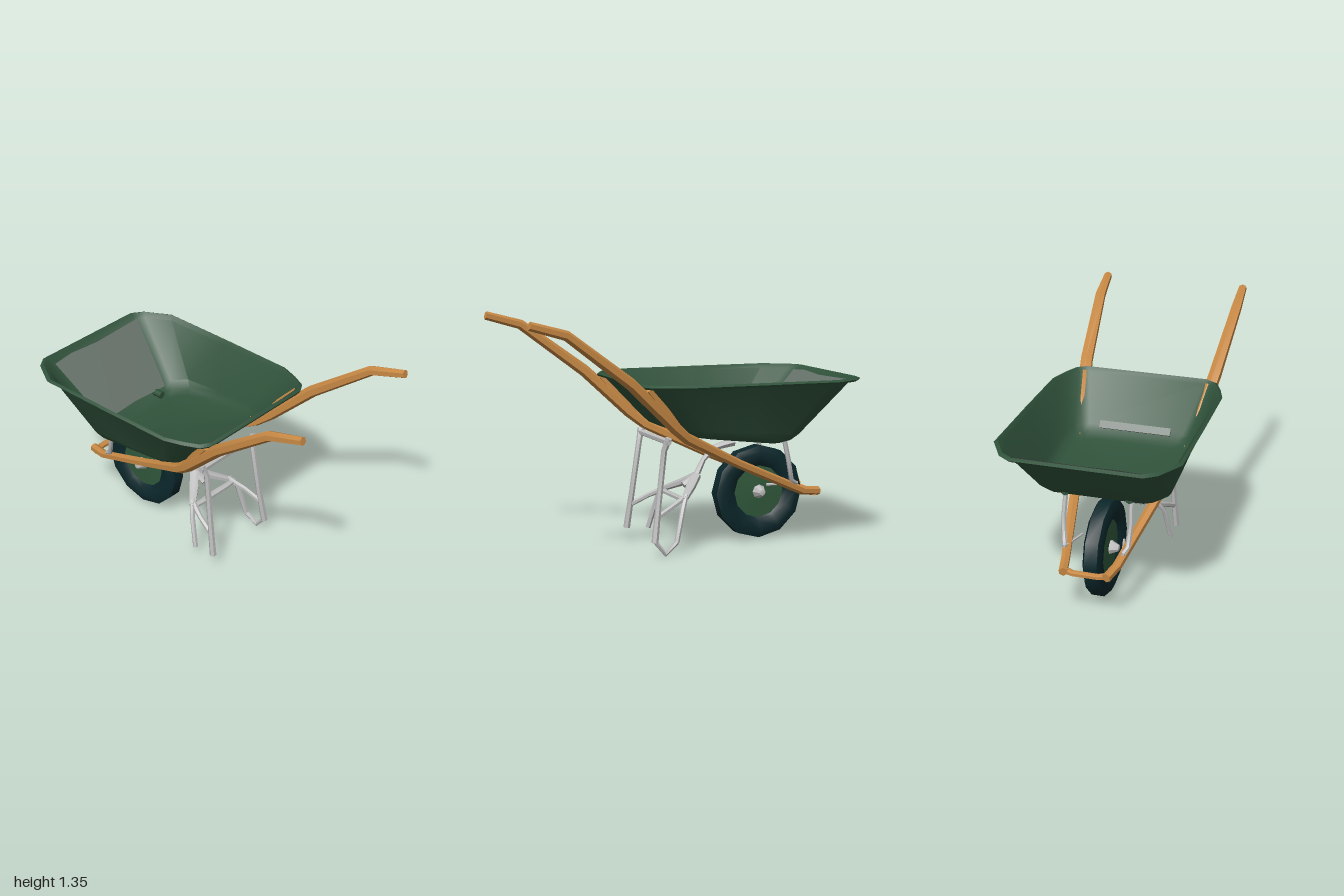
import * as THREE from 'three';
import { toCreasedNormals } from 'three/addons/utils/BufferGeometryUtils.js';

const mat = (name, color, side = THREE.FrontSide) => {
  const m = new THREE.MeshStandardMaterial({ color, side });
  m.name = name;
  return m;
};

function meshFrom(positions, index, crease) {
  const g = new THREE.BufferGeometry();
  g.setAttribute('position', new THREE.Float32BufferAttribute(positions, 3));
  g.setIndex(index);
  return toCreasedNormals(g, crease);
}

// Sweep an n-sided section along points [x, y, z, halfWidth, halfHeight]
function sweep(rows, n = 6, ref = new THREE.Vector3(0, 1, 0)) {
  const pts = rows.map(r => new THREE.Vector3(r[0], r[1], r[2]));
  const pos = [], idx = [];
  rows.forEach((r, i) => {
    const t = pts[Math.min(i + 1, pts.length - 1)].clone().sub(pts[Math.max(i - 1, 0)]).normalize();
    const side = new THREE.Vector3().crossVectors(t, ref).normalize();
    const up = new THREE.Vector3().crossVectors(t, side);
    for (let j = 0; j < n; j++) {
      const a = (j + 0.5) / n * Math.PI * 2;
      const p = pts[i].clone().addScaledVector(side, Math.cos(a) * r[3]).addScaledVector(up, Math.sin(a) * r[4]);
      pos.push(p.x, p.y, p.z);
    }
  });
  for (let i = 0; i < rows.length - 1; i++) for (let j = 0; j < n; j++) {
    const a = i * n + j, b = i * n + (j + 1) % n;
    idx.push(a, b, b + n, a, b + n, a + n);
  }
  const last = (rows.length - 1) * n;
  for (let j = 1; j < n - 1; j++) idx.push(0, j + 1, j, last, last + j, last + j + 1);
  return meshFrom(pos, idx, 0.9);
}

export function createModel() {
  const root = new THREE.Group();
  root.name = 'wheelbarrow';
  const green = mat('tray green', 0x30523b, THREE.DoubleSide);
  const wood = mat('wood', 0xc98a45);
  const metal = mat('grey metal', 0xbcbcbc);
  const rubber = mat('dark rubber', 0x0b272b);
  const rimGreen = mat('rim green', 0x31593c);
  const worn = mat('worn grey', 0x67736b, THREE.DoubleSide);
  const add = (name, geo, m, parent = root) => {
    const mesh = new THREE.Mesh(geo, m);
    mesh.name = name;
    parent.add(mesh);
    return mesh;
  };
  const rod = (name, pts, r = 0.016, ref) =>
    add(name, sweep(pts.map(p => [p[0], p[1], p[2], p[3] ?? r, p[3] ?? r]), 6, ref), metal);

  // Tray: one chamfered outline, scaled for every level from lip to floor
  const half = [[0, 0.7], [0.035, 0.83], [0.15, 1], [0.5, 0.995], [0.83, 0.98], [0.91, 0.91], [0.975, 0.83], [1, 0.72]];
  const outline = [...half, ...half.slice().reverse().map(([u, w]) => [u, -w])];
  // Each level: xFront, xBack, half width, yFront, yBack
  const levels = [
    [-0.985, 0.325, 0.5, 0.962, 0.968],
    [-1.0, 0.33, 0.512, 0.974, 0.98],
    [-0.98, 0.315, 0.497, 0.985, 0.992],
    [-0.955, 0.295, 0.475, 0.962, 0.968],
    [-0.66, 0.085, 0.385, 0.665, 0.735],
    [-0.615, 0.05, 0.36, 0.63, 0.7],
    [-0.56, 0.0, 0.32, 0.612, 0.678],
  ];
  const pos = [], idx = [], n = outline.length;
  for (const [x0, x1, z, y0, y1] of levels)
    for (const [u, w] of outline) pos.push(x0 + (x1 - x0) * u, y0 + (y1 - y0) * u, z * w);
  for (let i = 0; i < levels.length - 1; i++) for (let j = 0; j < n; j++) {
    const a = i * n + j, b = i * n + (j + 1) % n;
    idx.push(a, a + n, b + n, a, b + n, b);
  }
  const base = (levels.length - 1) * n;
  pos.push(-0.28, 0.645, 0);
  for (let j = 0; j < n; j++) idx.push(base + j, base + n, base + (j + 1) % n);
  // Flip so that the sheet's front side looks into the tray
  const trayGeo = meshFrom(pos, idx, 0.65);
  add('tray', trayGeo, green);

  // Worn patch on the inside of the front wall, following its slope
  const patch = [[0.02, -0.345], [0.05, 0], [0.02, 0.2], [0.05, 0.335], [0.88, 0.265], [1.0, 0.18], [0.98, 0], [1.0, -0.25], [0.6, -0.295]];
  const shape = new THREE.Shape(patch.map(([s, z]) => new THREE.Vector2(z, s)));
  const patchGeo = new THREE.ShapeGeometry(shape);
  const pp = patchGeo.attributes.position;
  for (let i = 0; i < pp.count; i++) {
    const z = pp.getX(i), s = pp.getY(i);
    pp.setXYZ(i, -0.955 + 0.295 * s + 0.016 + 0.03 * s * s, 0.962 - 0.297 * s + 0.012 - 0.012 * s * s, z);
  }
  patchGeo.computeVertexNormals();
  if (patchGeo.attributes.normal.getY(0) < 0) {
    const ix = patchGeo.index.array;
    for (let i = 0; i < ix.length; i += 3) [ix[i], ix[i + 1]] = [ix[i + 1], ix[i]];
    patchGeo.computeVertexNormals();
  }
  add('wornPatch', patchGeo, worn);
  // Worn strip at the foot of the back wall
  const strip = add('wornStrip', new THREE.BoxGeometry(0.045, 0.008, 0.42), worn);
  strip.position.set(0.08, 0.74, 0);
  strip.rotation.z = 0.82;

  // Wooden frame: two handles and the bar around the wheel
  for (const s of [1, -1]) {
    const tip = s > 0 ? 0.41 : 0.435;
    add(s > 0 ? 'leftHandle' : 'rightHandle', sweep([
      [-0.865, 0.292, 0.12 * s, 0.026, 0.026],
      [-0.75, 0.305, 0.145 * s, 0.026, 0.026],
      [-0.3, 0.505, 0.235 * s, 0.03, 0.026],
      [0.05, 0.68, 0.32 * s, 0.036, 0.032],
      [0.14, 0.755, 0.345 * s, 0.04, 0.036],
      [0.4, 1.0, 0.39 * s, 0.038, 0.034],
      [0.77, 1.275, 0.42 * s, 0.032, 0.028],
      [0.975, 1.332, tip * s, 0.024, 0.024],
    ]), wood);
    // Wedge that carries the back of the tray
    add('trayWedge', sweep([
      [0.06, 0.69, 0.325 * s, 0.03, 0.012],
      [0.2, 0.845, 0.355 * s, 0.03, 0.032],
      [0.3, 0.965, 0.375 * s, 0.026, 0.022],
    ]), wood);
    // Strut from the frame up to the tray, with its bolt
    rod('trayStrut', [[-0.7, 0.355, 0.165 * s], [-0.66, 0.38, 0.18 * s], [-0.635, 0.5, 0.19 * s], [-0.605, 0.64, 0.185 * s]], 0.014,
      new THREE.Vector3(0, 0, 1));
    rod('strutBracket', [[-0.71, 0.358, 0.165 * s], [-0.53, 0.35, 0.12 * s]], 0.008);
    const bolt = add('trayBolt', new THREE.CylinderGeometry(0.022, 0.022, 0.07, 8), green);
    bolt.position.set(-0.605, 0.652, 0.18 * s);
    bolt.rotation.z = Math.PI / 2;
  }
  add('frontBar', sweep([
    [-0.83, 0.29, -0.14, 0.022, 0.022], [-0.85, 0.284, -0.07, 0.022, 0.016],
    [-0.85, 0.284, 0.07, 0.022, 0.016], [-0.83, 0.29, 0.14, 0.022, 0.022],
  ]), wood);

  // Wheel: low-sided tyre, dished discs and hub
  const wheel = new THREE.Group();
  wheel.name = 'wheel';
  wheel.position.set(-0.53, 0.293, 0.01);
  root.add(wheel);
  const v = (r, y) => new THREE.Vector2(r, y);
  const turned = (profile, sides) => {
    const g = new THREE.LatheGeometry(profile.map(p => v(...p)), sides);
    g.rotateX(Math.PI / 2);
    return toCreasedNormals(g, 0.7);
  };
  add('tyre', turned([[0.15, -0.022], [0.18, -0.045], [0.235, -0.054], [0.272, -0.036],
    [0.272, 0.036], [0.235, 0.054], [0.18, 0.045], [0.15, 0.022]], 12), rubber, wheel);
  add('wheelDisc', turned([[0, -0.034], [0.06, -0.03], [0.17, -0.024], [0.17, 0.024], [0.06, 0.03], [0, 0.034]], 16), rimGreen, wheel);
  add('hub', turned([[0, -0.085], [0.018, -0.08], [0.042, -0.03], [0.042, 0.03], [0.018, 0.08], [0, 0.085]], 8), metal, wheel);

  // Leg frame: crossbar, legs, front rods and braces
  const zAxis = new THREE.Vector3(0, 0, 1);
  rod('legCrossbar', [[0.12, 0.65, -0.23], [0.12, 0.65, 0.23]], 0.018);
  for (const s of [1, -1]) {
    rod('leg', [[0.115, 0.67, 0.215 * s, 0.02], [0.135, 0.6, 0.195 * s], [0.175, 0.3, 0.21 * s],
      [0.205, 0.09, (s > 0 ? 0.22 : 0.23) * s, 0.02]], 0.017, zAxis);
    rod('frontLegRod', [[-0.01, 0.33, 0.16 * s], [0.02, 0.27, 0.195 * s], [0.07, 0.08, 0.222 * s]], 0.015, zAxis);
    rod('sideBrace', [[-0.02, 0.325, 0.15 * s, 0.02], [0.08, 0.28, 0.19 * s], [0.18, 0.23, 0.212 * s]], 0.015);
    // Webs that spread from the centre stem
    add('upperWeb', sweep([[-0.14, 0.41, 0, 0.03, 0.024], [-0.08, 0.365, 0.07 * s, 0.03, 0.022],
      [0.0, 0.315, 0.17 * s, 0.02, 0.016]]), metal);
    add('lowerWeb', sweep([[0.01, 0.31, 0, 0.022, 0.014], [0.015, 0.312, 0.1 * s, 0.02, 0.014],
      [0.01, 0.31, 0.18 * s, 0.016, 0.014]]), metal);
  }
  // The right foot is a closed loop
  rod('footLoop', [[0.205, 0.1, -0.23], [0.143, 0.022, -0.236], [0.07, 0.08, -0.222]], 0.014, zAxis);
  rod('centreStem', [[-0.06, 0.36, 0, 0.022], [-0.14, 0.41, 0, 0.02], [-0.185, 0.5, 0, 0.015], [-0.25, 0.565, 0, 0.018],
    [-0.31, 0.58, 0, 0.022], [-0.375, 0.593, 0, 0.026]], 0.016, zAxis);

  return root;
}
